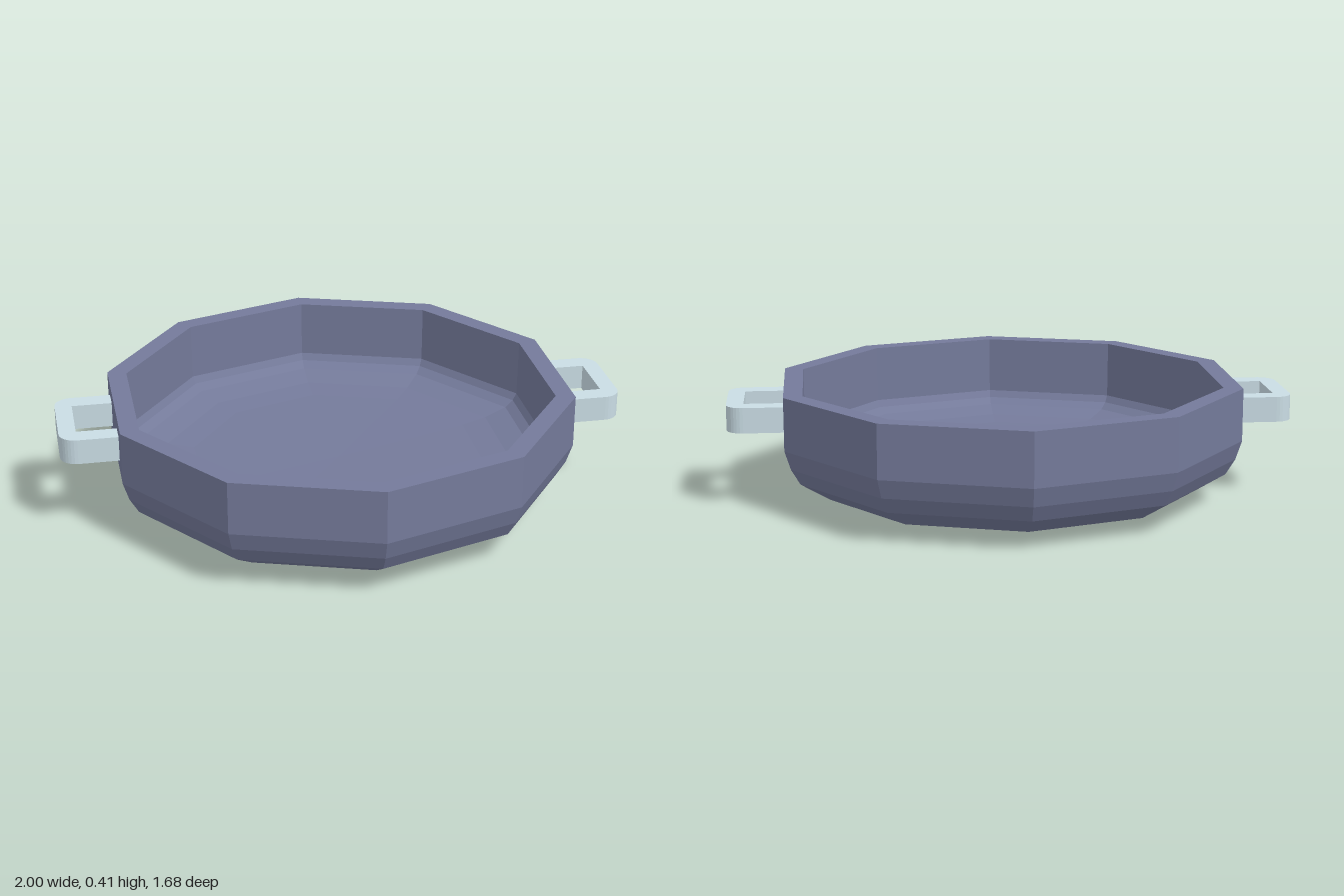
import * as THREE from 'three';

const SIDES = 10;

// Ten-sided pan body: outer wall, flat rim and shallow hollow in one profile
function createPan() {
  const profile = [
    // underside and outer wall
    [0, 0], [0.38, 0.002], [0.55, 0.01], [0.68, 0.039], [0.785, 0.104], [0.818, 0.16], [0.84, 0.227], [0.84, 0.415],
    // rim, inner wall and floor
    [0.77, 0.415], [0.767, 0.21], [0.752, 0.185], [0.72, 0.163], [0.63, 0.142], [0.53, 0.133], [0, 0.128],
  ].map(([r, y]) => new THREE.Vector2(r, y));
  const pan = new THREE.Mesh(
    new THREE.LatheGeometry(profile, SIDES),
    new THREE.MeshStandardMaterial({ color: 0x747a9a, flatShading: true })
  );
  pan.name = 'panBody';
  return pan;
}

// U-shaped bar with rounded outer corners and a square inner opening
function createHandleGeometry() {
  const start = 0.78, end = 1, half = 0.175, r = 0.06;
  const innerEnd = 0.94, innerHalf = 0.105;
  const shape = new THREE.Shape();
  shape.moveTo(start, -half);
  shape.lineTo(end - r, -half);
  shape.absarc(end - r, -half + r, r, -Math.PI / 2, 0, false);
  shape.lineTo(end, half - r);
  shape.absarc(end - r, half - r, r, 0, Math.PI / 2, false);
  shape.lineTo(start, half);
  shape.lineTo(start, innerHalf);
  shape.lineTo(innerEnd, innerHalf);
  shape.lineTo(innerEnd, -innerHalf);
  shape.lineTo(start, -innerHalf);
  shape.closePath();
  return new THREE.ExtrudeGeometry(shape, { depth: 0.09, bevelEnabled: false, curveSegments: 4 })
    .rotateX(-Math.PI / 2)
    .translate(0, 0.274, 0);
}

export function createModel() {
  const model = new THREE.Group();
  model.name = 'pan';
  model.add(createPan());

  // A matching handle on each side
  const geometry = createHandleGeometry();
  const material = new THREE.MeshStandardMaterial({ color: 0xc9dce4, flatShading: true });
  for (const [name, turn] of [['leftHandle', 0], ['rightHandle', Math.PI]]) {
    const handle = new THREE.Mesh(geometry, material);
    handle.name = name;
    handle.rotation.y = turn;
    model.add(handle);
  }
  return model;
}
